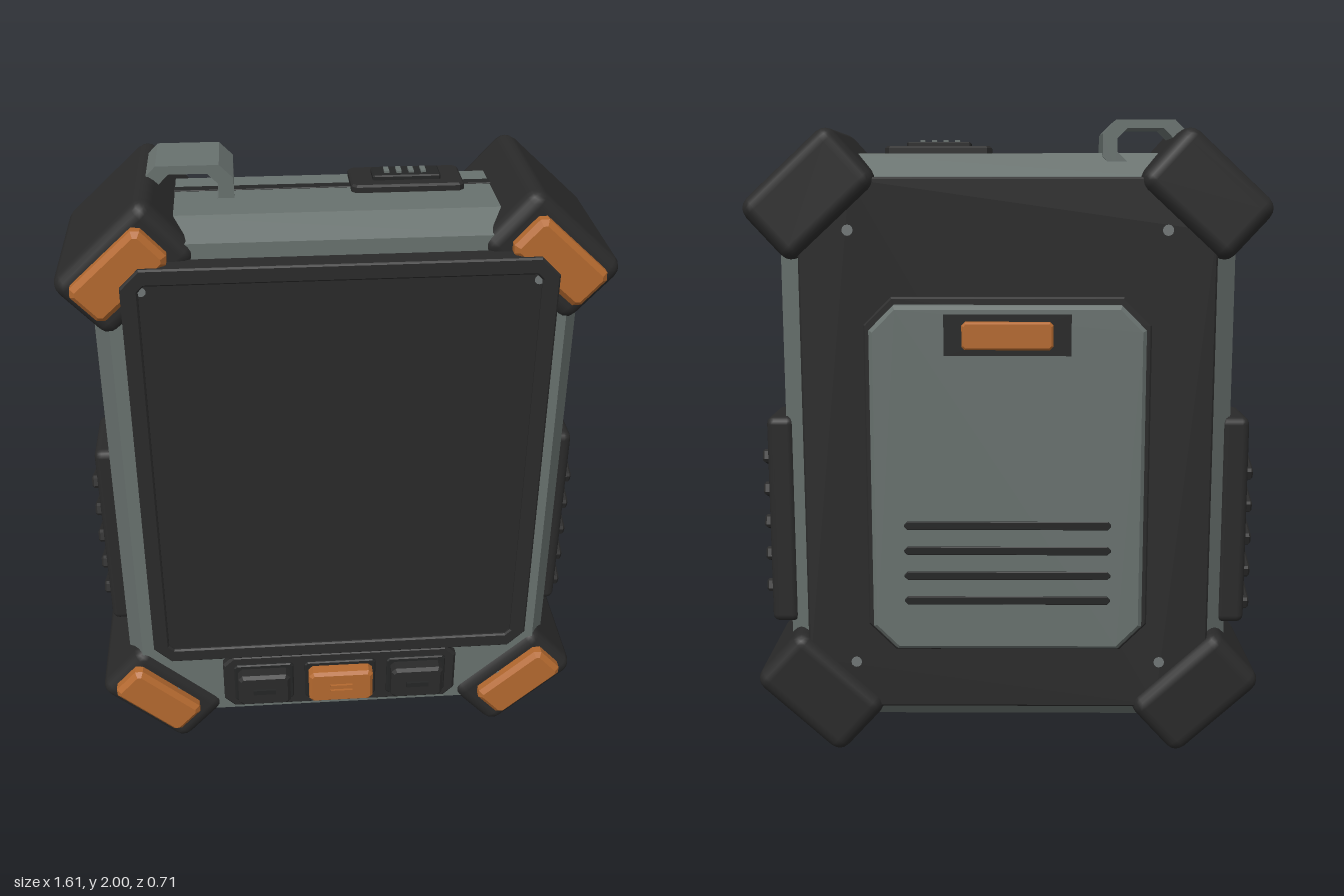
import * as THREE from 'three';
import { RoundedBoxGeometry } from 'three/addons/geometries/RoundedBoxGeometry.js';

const mat = (name, color) => Object.assign(new THREE.MeshStandardMaterial({ color }), { name });

// octagon outline: rectangle with cut corners
function outline(w, h, cut, target) {
  const x = w / 2, y = h / 2;
  const pts = [[x, -y + cut], [x, y - cut], [x - cut, y], [-x + cut, y],
    [-x, y - cut], [-x, -y + cut], [-x + cut, -y], [x - cut, -y]];
  target.setFromPoints(pts.map(p => new THREE.Vector2(...p)));
  return target;
}

// chamfered slab centred on the origin, thickness along z, optional window [w, h, cut]
function slab(w, h, d, cut, bevel, { depthBevel = bevel, hole } = {}) {
  const shape = outline(w - 2 * bevel, h - 2 * bevel, Math.max(cut - 0.586 * bevel, 0.002), new THREE.Shape());
  if (hole) shape.holes.push(outline(hole[0] + 2 * bevel, hole[1] + 2 * bevel, hole[2], new THREE.Path()));
  const g = new THREE.ExtrudeGeometry(shape, {
    depth: d - 2 * depthBevel, bevelEnabled: true, bevelSize: bevel,
    bevelThickness: depthBevel, bevelSegments: 1, steps: 1,
  });
  return g.translate(0, 0, -d / 2 + depthBevel);
}

// shell whose rear chamfer is wider than the front one
function shellGeometry() {
  const d = 0.465, extra = 0.022;
  const g = slab(1.42, 1.826, d, 0.2, 0.05, { depthBevel: 0.085 });
  const p = g.attributes.position;
  for (let i = 0; i < p.count; i++) {
    if (p.getZ(i) > -d / 2 + 0.001) continue;
    p.setX(i, p.getX(i) - Math.sign(p.getX(i)) * extra);
    p.setY(i, p.getY(i) - Math.sign(p.getY(i)) * extra);
  }
  g.computeVertexNormals();
  return g;
}

export function createModel() {
  const grey = mat('shell grey', 0x68716e);
  const dark = mat('rubber black', 0x2a2a2a);
  const glass = mat('screen black', 0x292929);
  const seamMat = mat('seam black', 0x252626);
  const orange = mat('accent orange', 0xb4692f);
  const metal = mat('screw grey', 0x707676);

  const root = new THREE.Group();
  const add = (name, geo, m, x, y, z, parent = root) => {
    const mesh = new THREE.Mesh(geo, m);
    mesh.name = name;
    mesh.position.set(x, y, z);
    parent.add(mesh);
    return mesh;
  };

  // main shell, seam and back plate
  add('shell', shellGeometry(), grey, 0, 0.988, 0.0275);
  add('seam', slab(1.426, 1.832, 0.034, 0.2, 0.002), seamMat, 0, 0.988, -0.027);
  add('backPlate', slab(1.275, 1.68, 0.05, 0.16, 0.006), dark, 0, 0.988, -0.219);

  // corner bumpers with front pads and screws
  const bumperGeo = new RoundedBoxGeometry(0.375, 0.235, 0.543, 2, 0.043);
  const padGeo = slab(0.28, 0.135, 0.07, 0.018, 0.015);
  const screw = r => new THREE.CylinderGeometry(r, r, 0.012, 12).rotateX(Math.PI / 2);
  const frontScrewGeo = screw(0.014), backScrewGeo = screw(0.017);
  const tilt = THREE.MathUtils.degToRad(42.5);
  for (const sx of [-1, 1]) for (const sy of [-1, 1]) {
    const top = sy > 0;
    const angle = -sx * sy * tilt;
    add('cornerBumper', bumperGeo, dark, sx * 0.603, top ? 1.777 : 0.196, 0.003).rotation.z = angle;
    add('bumperPad', padGeo, orange, sx * 0.618, top ? 1.778 : 0.21, 0.28).rotation.z = angle;
    add('frontScrew', frontScrewGeo, metal, sx * 0.557, top ? 1.737 : 0.229, top ? 0.311 : 0.273);
    add('backScrew', backScrewGeo, metal, sx * 0.485, top ? 1.67 : 0.3, -0.241);
  }

  // screen
  add('screenFrame', slab(1.23, 1.405, 0.07, 0.055, 0.005, { hole: [1.13, 1.305, 0.02] }), dark, 0, 1.104, 0.292);
  add('screenGlass', new THREE.BoxGeometry(1.16, 1.34, 0.055), glass, 0, 1.104, 0.289);

  // button panel
  add('buttonPanel', slab(0.79, 0.22, 0.04, 0.035, 0.008), dark, 0, 0.265, 0.27);
  for (const i of [-1, 0, 1]) {
    const w = i ? 0.175 : 0.215;
    const x = i * 0.258;
    add('buttonRim', slab(w + 0.025, 0.155, 0.02, 0.01, 0.004), seamMat, x, 0.267, 0.29);
    add('button', slab(w, 0.125, 0.055, 0.014, 0.01), i ? dark : orange, x, 0.267, 0.317);
    for (const dy of i ? [0] : [-0.011, 0.011])
      add('buttonMark', new THREE.BoxGeometry(0.075, i ? 0.018 : 0.008, 0.008), i ? seamMat : orange, x, 0.268 + dy, 0.348);
  }

  // side grips with slanted ribs
  const gripGeo = new RoundedBoxGeometry(0.245, 0.68, 0.09, 2, 0.024);
  const ribGeo = slab(0.2, 0.042, 0.03, 0.008, 0.006);
  for (const s of [-1, 1]) {
    const grip = new THREE.Group();
    grip.name = 'sideGrip';
    grip.position.set(s * 0.725, 0.74, -0.03);
    grip.rotation.y = s * Math.PI / 2;
    root.add(grip);
    add('gripPad', gripGeo, dark, 0, 0, 0, grip);
    for (let i = 0; i < 5; i++)
      add('gripRib', ribGeo, dark, 0, -0.252 + i * 0.108, 0.049, grip).rotation.z = 0.33;
  }

  // rear cover with vents and latch
  add('coverBase', slab(0.88, 1.12, 0.03, 0.085, 0.005), dark, 0, 0.91, -0.252);
  add('rearCover', slab(0.84, 1.08, 0.055, 0.075, 0.012), grey, 0, 0.908, -0.291);
  for (let i = 0; i < 4; i++)
    add('vent', slab(0.64, 0.026, 0.01, 0.01, 0.002), seamMat, 0, 0.53 + i * 0.08, -0.319);
  add('latchPlate', new THREE.BoxGeometry(0.385, 0.125, 0.008), seamMat, 0, 1.36, -0.32);
  add('latch', slab(0.275, 0.083, 0.035, 0.01, 0.006), orange, 0, 1.36, -0.338);

  // top port
  add('portBase', slab(0.33, 0.16, 0.03, 0.014, 0.006).rotateX(-Math.PI / 2), dark, 0.215, 1.908, -0.04);
  add('portCap', slab(0.2, 0.08, 0.03, 0.005, 0.004).rotateX(-Math.PI / 2), seamMat, 0.215, 1.922, -0.04);
  for (let i = 0; i < 4; i++)
    add('portContact', new THREE.BoxGeometry(0.015, 0.01, 0.04), grey, 0.158 + i * 0.036, 1.938, -0.04);

  // strap loop
  const loop = outline(0.26, 0.15, 0.04, new THREE.Shape());
  loop.holes.push(outline(0.17, 0.1, 0.03, new THREE.Path()));
  add('strapLoop', new THREE.ExtrudeGeometry(loop, { depth: 0.2, bevelEnabled: false }), grey, -0.42, 1.925, -0.15);

  return root;
}
